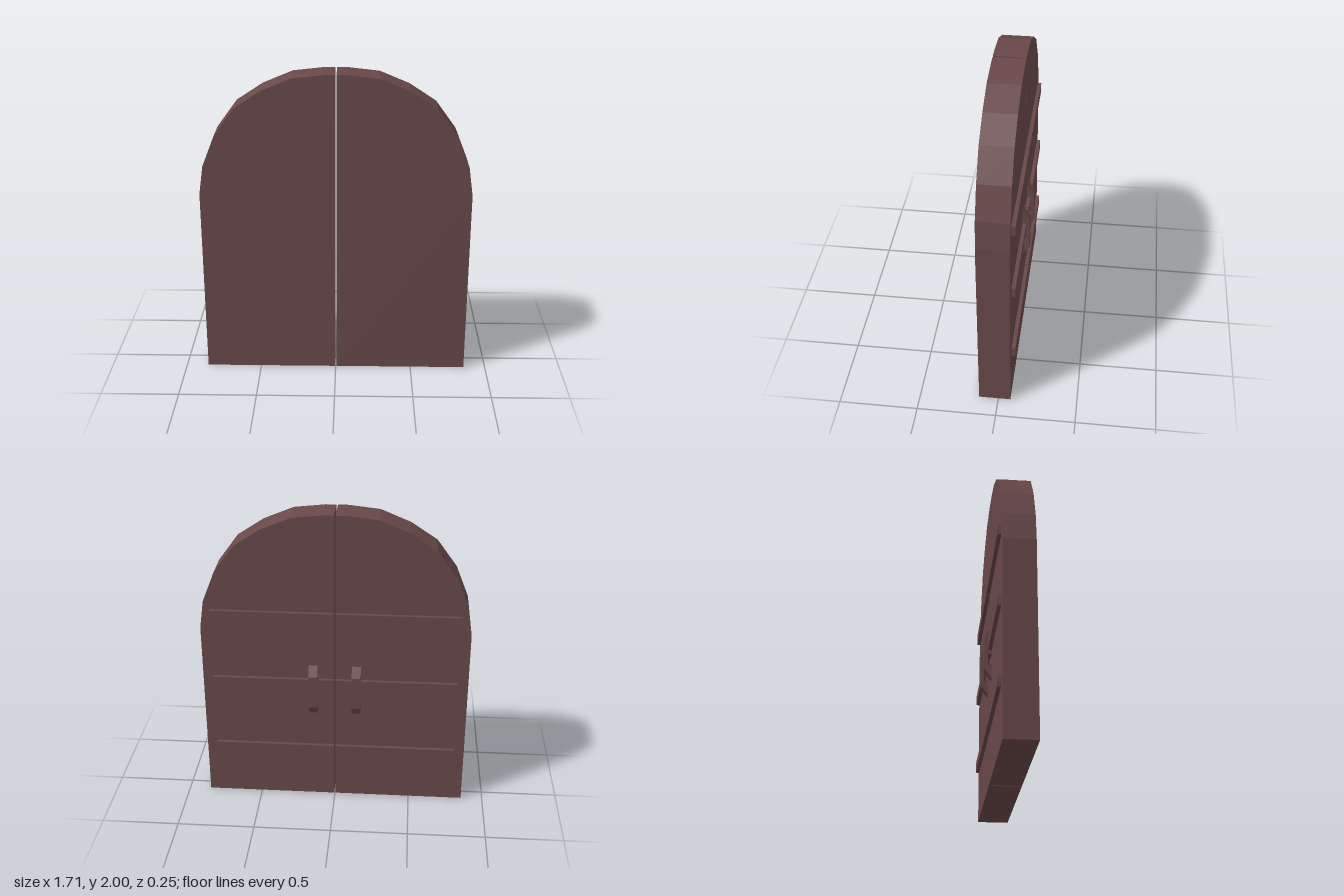
import * as THREE from 'three';

const FRONT = 0.124, BACK = -0.077, BAR_BACK = -0.101, GRIP_BACK = -0.124;
const GAP = 0.005; // half the slit between the two leaves

const material = new THREE.MeshStandardMaterial({ color: 0x694849, flatShading: true });

function shapeFrom(points) {
  return new THREE.Shape(points.map(([x, y]) => new THREE.Vector2(x, y)));
}

function addMesh(group, name, geometry) {
  const mesh = new THREE.Mesh(geometry, material);
  mesh.name = name;
  group.add(mesh);
  return mesh;
}

// One half of the arched double door; side is +1 (left) or -1 (right)
function createLeaf(side) {
  const leaf = new THREE.Group();
  leaf.name = side > 0 ? 'leftDoor' : 'rightDoor';

  // Faceted quarter-arch slab, wound counter-clockwise by the extrusion
  const outline = [
    [GAP, 0], [0.857, 0], [0.857, 1.23], [0.83, 1.415], [0.75, 1.615],
    [0.622, 1.79], [0.455, 1.9], [0.268, 1.978], [0.07, 2], [GAP, 2],
  ].map(([x, y]) => [x * side, y]);
  const slab = new THREE.ExtrudeGeometry(shapeFrom(outline), { depth: FRONT - BACK, bevelEnabled: false });
  slab.translate(0, 0, BACK);
  addMesh(leaf, 'doorPanel', slab);

  // Three cross bars on the back
  for (const y of [0.36, 0.857, 1.328]) {
    const bar = new THREE.BoxGeometry(0.79 - GAP, 0.066, BACK - BAR_BACK);
    bar.translate(side * (0.79 + GAP) / 2, y, (BACK + BAR_BACK) / 2);
    addMesh(leaf, 'crossBar', bar);
  }

  // Pull handle: side profile (distance along z, height) with a finger gap
  const profile = shapeFrom([
    [BACK, 0.635], [BACK, 0.732], [BAR_BACK, 0.732], [BAR_BACK, 0.797],
    [BACK, 0.797], [BACK, 0.985], [GRIP_BACK, 0.922], [GRIP_BACK, 0.698],
  ]);
  const width = 0.058;
  const grip = new THREE.ExtrudeGeometry(profile, { depth: width, bevelEnabled: false });
  grip.translate(0, 0, -width / 2);
  grip.rotateY(-Math.PI / 2); // profile x becomes z
  grip.translate(side * 0.139, 0, 0);
  addMesh(leaf, 'handle', grip);

  return leaf;
}

export function createModel() {
  const door = new THREE.Group();
  door.name = 'archedDoubleDoor';
  for (const side of [1, -1]) door.add(createLeaf(side));
  return door;
}
